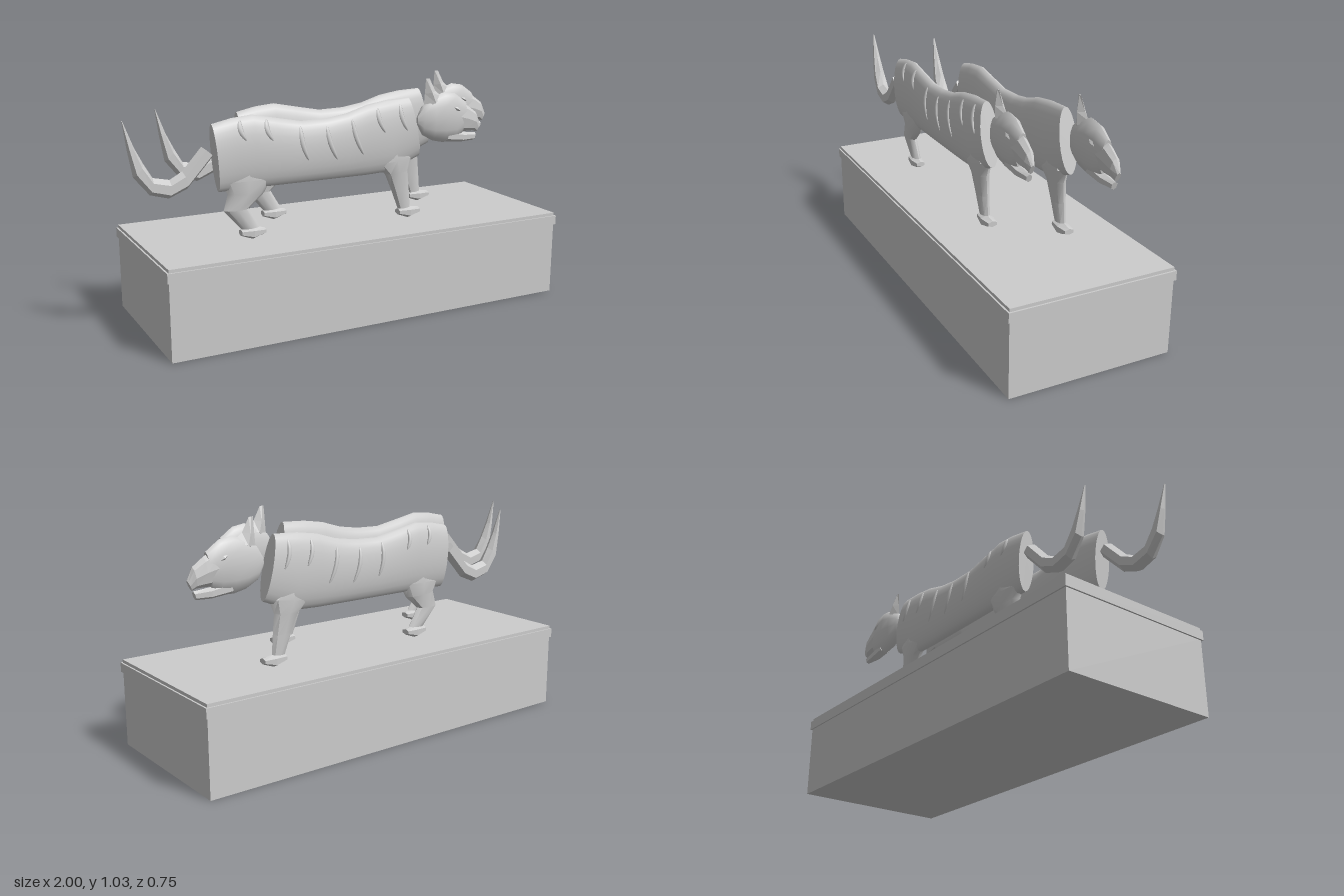
import * as THREE from 'three';
import { toCreasedNormals } from 'three/addons/utils/BufferGeometryUtils.js';

const stone = new THREE.MeshStandardMaterial({ color: 0xcccccc });
stone.name = 'stone';

// Oval sections [x1, y1, x2, y2, halfDepth]: two opposite edge points in the
// xy plane and the half depth in z, joined into a closed skin with end caps.
function loft(sections, sides, crease) {
  const rings = sections.map(([x1, y1, x2, y2, hz]) => {
    const ring = [];
    for (let j = 0; j < sides; j++) {
      const t = (j / sides) * Math.PI * 2, c = Math.cos(t) / 2;
      ring.push([(x1 + x2) / 2 + (x1 - x2) * c, (y1 + y2) / 2 + (y1 - y2) * c, hz * Math.sin(t)]);
    }
    return ring;
  });
  const mid = (s) => [(s[0] + s[2]) / 2, (s[1] + s[3]) / 2, 0];
  const a = sections[0], b = sections[1], last = sections.length - 1;
  const ma = mid(a), mb = mid(b);
  const flip = (a[1] - a[3]) * (mb[0] - ma[0]) - (a[0] - a[2]) * (mb[1] - ma[1]) < 0;
  const pos = [];
  const tri = (p, q, r) => (flip ? pos.push(...p, ...r, ...q) : pos.push(...p, ...q, ...r));
  for (let j = 0; j < sides; j++) {
    const k = (j + 1) % sides;
    for (let i = 0; i < last; i++) {
      tri(rings[i][j], rings[i][k], rings[i + 1][j]);
      tri(rings[i][k], rings[i + 1][k], rings[i + 1][j]);
    }
    tri(ma, rings[0][k], rings[0][j]);
    tri(mid(sections[last]), rings[last][j], rings[last][k]);
  }
  const geo = new THREE.BufferGeometry();
  geo.setAttribute('position', new THREE.Float32BufferAttribute(pos, 3));
  geo.computeVertexNormals();
  return crease ? toCreasedNormals(geo, crease) : geo;
}

function add(group, name, geo) {
  const mesh = new THREE.Mesh(geo, stone);
  mesh.name = name;
  group.add(mesh);
  return mesh;
}

const BODY = [
  [-0.63, 0.905, -0.605, 0.615, 0.042], [-0.54, 0.924, -0.52, 0.617, 0.043],
  [-0.45, 0.932, -0.44, 0.617, 0.044], [-0.35, 0.912, -0.35, 0.617, 0.044],
  [-0.22, 0.887, -0.22, 0.617, 0.044], [-0.1, 0.89, -0.1, 0.617, 0.044],
  [0, 0.905, 0, 0.617, 0.044], [0.1, 0.935, 0.1, 0.617, 0.044],
  [0.2, 0.95, 0.23, 0.622, 0.044], [0.315, 0.955, 0.375, 0.68, 0.04],
];

// Half depth of the body at a point on its flank
function flank(x, y) {
  let i = 0;
  while (i < BODY.length - 2 && BODY[i + 1][0] < x) i++;
  const p = BODY[i], q = BODY[i + 1];
  const f = THREE.MathUtils.clamp((x - p[0]) / (q[0] - p[0]), 0, 1);
  const top = p[1] + (q[1] - p[1]) * f, bot = p[3] + (q[3] - p[3]) * f;
  const v = (2 * y - top - bot) / (top - bot);
  return 0.044 * Math.sqrt(Math.max(0, 1 - v * v));
}

// Raised leaf-shaped stripe that follows the flank
function stripe(x0, y0, x1, y1, side) {
  const geo = new THREE.SphereGeometry(1, 6, 8);
  const p = geo.attributes.position;
  for (let i = 0; i < p.count; i++) {
    const f = (1 - p.getY(i)) / 2;
    const x = x0 + (x1 - x0) * f + 0.012 * p.getX(i) - 0.012 * Math.sin(f * Math.PI);
    const y = y0 + (y1 - y0) * f;
    p.setXYZ(i, x, y, side * flank(x, y) + 0.008 * p.getZ(i));
  }
  geo.computeVertexNormals();
  return geo;
}

const STRIPES = [
  [-0.51, 0.915, -0.49, 0.83], [-0.39, 0.91, -0.37, 0.82], [-0.235, 0.87, -0.205, 0.72],
  [-0.11, 0.86, -0.065, 0.71], [0.015, 0.88, 0.065, 0.72], [0.145, 0.92, 0.175, 0.81],
  [0.26, 0.93, 0.29, 0.81],
];

const foot = (x) => loft([
  [x - 0.055, 0.44, x - 0.055, 0.412, 0.024], [x, 0.447, x, 0.392, 0.032],
  [x + 0.055, 0.438, x + 0.055, 0.412, 0.024],
], 6);

// One big cat; side is the z direction its striped flank faces
function cat(side) {
  const g = new THREE.Group();
  add(g, 'body', loft(BODY, 24, 0.7));
  for (const s of STRIPES) add(g, 'stripe', stripe(...s, side));

  add(g, 'tail', loft([
    [-1, 0.945, -0.997, 0.945, 0.003], [-0.985, 0.83, -0.955, 0.835, 0.018],
    [-0.965, 0.715, -0.92, 0.765, 0.028], [-0.9, 0.635, -0.885, 0.705, 0.033],
    [-0.82, 0.612, -0.815, 0.69, 0.035], [-0.74, 0.645, -0.76, 0.72, 0.036],
    [-0.625, 0.77, -0.675, 0.815, 0.036],
  ], 6));

  // Legs, blended into the flanks by wide pointed tops
  add(g, 'hindLeg', loft([
    [-0.5, 0.735, -0.44, 0.735, 0.03], [-0.6, 0.655, -0.36, 0.655, 0.037],
    [-0.565, 0.6, -0.4, 0.59, 0.03], [-0.585, 0.53, -0.47, 0.53, 0.025],
    [-0.505, 0.44, -0.42, 0.445, 0.019],
  ], 8, 0.7));
  add(g, 'hindFoot', foot(-0.455));
  add(g, 'foreLeg', loft([
    [0.215, 0.745, 0.265, 0.745, 0.035], [0.14, 0.66, 0.345, 0.685, 0.038],
    [0.2, 0.61, 0.32, 0.62, 0.031], [0.235, 0.53, 0.328, 0.53, 0.025],
    [0.27, 0.44, 0.335, 0.445, 0.019],
  ], 8, 0.7));
  add(g, 'foreFoot', foot(0.325));

  // Head
  add(g, 'head', loft([
    [0.367, 0.865, 0.367, 0.825, 0.006], [0.395, 0.912, 0.395, 0.775, 0.024],
    [0.45, 0.947, 0.45, 0.745, 0.036], [0.51, 0.967, 0.51, 0.732, 0.04],
    [0.57, 0.957, 0.57, 0.737, 0.036], [0.63, 0.915, 0.61, 0.765, 0.026],
  ], 12, 0.8));
  add(g, 'muzzle', loft([
    [0.58, 0.93, 0.56, 0.775, 0.034], [0.64, 0.897, 0.63, 0.775, 0.028],
    [0.69, 0.862, 0.675, 0.775, 0.022], [0.715, 0.81, 0.695, 0.768, 0.011],
  ], 8));
  add(g, 'lowerJaw', loft([
    [0.53, 0.79, 0.52, 0.735, 0.028], [0.62, 0.772, 0.61, 0.726, 0.025],
    [0.69, 0.765, 0.68, 0.729, 0.014],
  ], 6));
  add(g, 'ear', loft([
    [0.4, 0.9, 0.5, 0.945, 0.028], [0.405, 0.965, 0.462, 0.975, 0.02],
    [0.41, 1.035, 0.43, 1.033, 0.003],
  ], 4));
  for (const s of [-1, 1]) {
    const eye = add(g, 'eye', new THREE.OctahedronGeometry(1));
    eye.scale.set(0.022, 0.009, 0.008);
    eye.position.set(0.565, 0.888, s * 0.033);
    eye.rotation.z = -0.5;
  }
  return g;
}

export function createModel() {
  const model = new THREE.Group();

  // Plinth with a projecting lip
  const slab = (name, w, y0, y1, d) =>
    add(model, name, new THREE.BoxGeometry(w, y1 - y0, d)).position.set(0.04, (y0 + y1) / 2, 0);
  slab('plinth', 1.9, 0, 0.34, 0.738);
  slab('plinthLip', 1.915, 0.334, 0.376, 0.752);
  slab('plinthTop', 1.9, 0.37, 0.39, 0.738);

  // Two cats side by side, one a step ahead
  const near = cat(1);
  near.name = 'frontCat';
  near.position.z = 0.126;
  const far = cat(-1);
  far.name = 'rearCat';
  far.position.set(0.21, 0, -0.126);
  model.add(near, far);
  return model;
}
